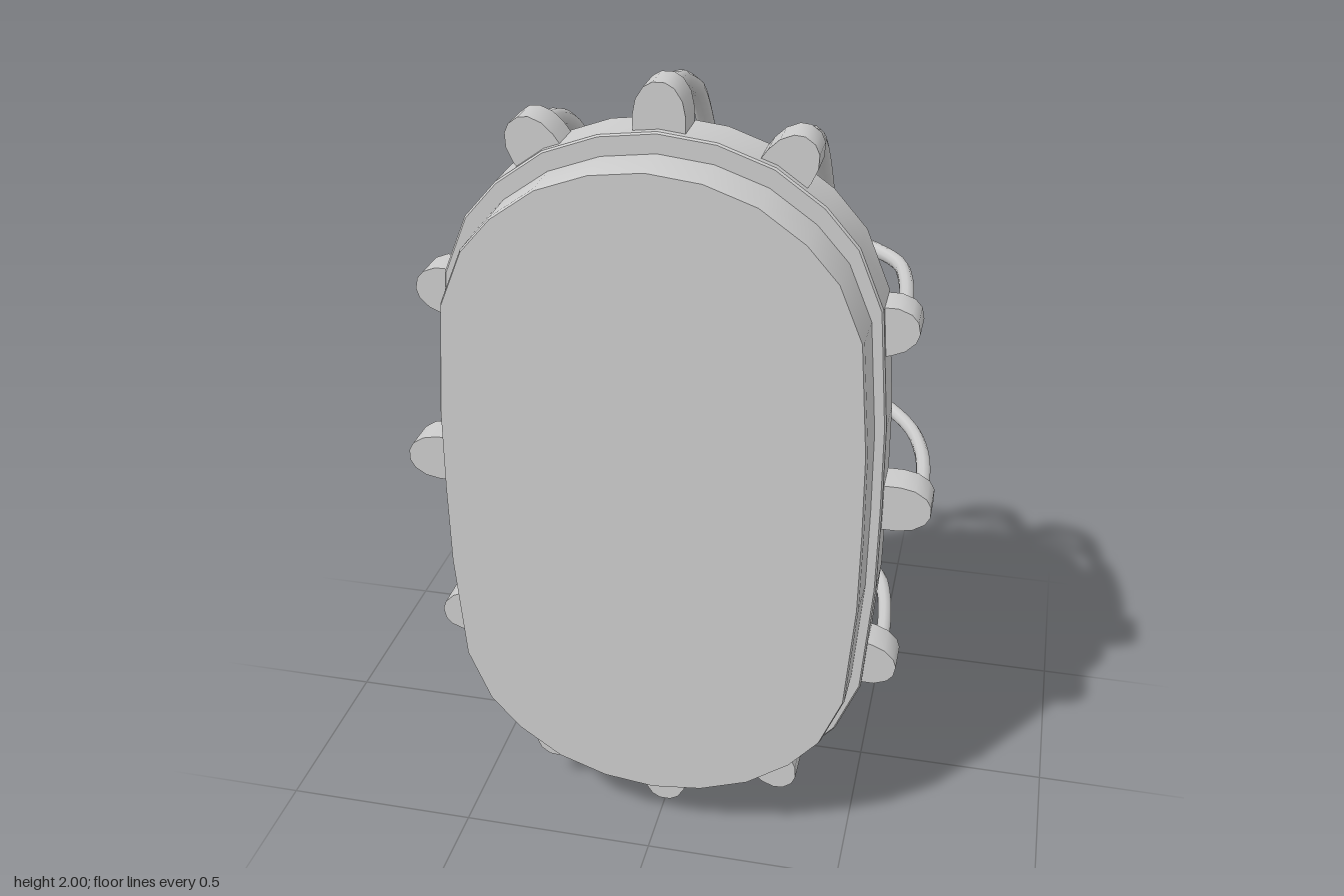
import * as THREE from 'three';
import { toCreasedNormals } from 'three/addons/utils/BufferGeometryUtils.js';

const material = new THREE.MeshStandardMaterial({ color: 0xcccccc });

// One quarter of the oblong outline, from the side to the top, scaled to 1 x 1
const quarter = [[1, 0], [0.996, 0.25], [0.954, 0.58], [0.845, 0.74], [0.70, 0.84], [0.49, 0.93], [0.25, 0.982]];
const outline = [
  ...quarter,
  [0, 1],
  ...quarter.slice(1).reverse().map(([x, y]) => [-x, y]),
  ...quarter.map(([x, y]) => [-x, -y]),
  [0, -1],
  ...quarter.slice(1).reverse().map(([x, y]) => [x, -y]),
];

// Skin oblong sections [z, half width, half height], listed from front to back
function loft(sections, crease) {
  const n = outline.length, positions = [], index = [];
  for (const [z, rx, ry] of sections) for (const [x, y] of outline) positions.push(x * rx, y * ry, z);
  for (let i = 0; i < sections.length - 1; i++) {
    for (let j = 0; j < n; j++) {
      const a = i * n + j, b = i * n + (j + 1) % n;
      if (sections[i][1] > 0) index.push(a, a + n, b);
      if (sections[i + 1][1] > 0) index.push(b, a + n, b + n);
    }
  }
  const geometry = new THREE.BufferGeometry();
  geometry.setAttribute('position', new THREE.Float32BufferAttribute(positions, 3));
  geometry.setIndex(index);
  return toCreasedNormals(geometry, crease);
}

// Cage wire: half profile [distance along the span, z], mirrored to the other end
function wireGeometry(half, radius, toPoint) {
  const full = [...half, ...half.slice(0, -1).reverse().map(([s, z]) => [-s, z])];
  const curve = new THREE.CatmullRomCurve3(full.map(([s, z]) => toPoint(s, z)), false, 'centripetal');
  return new THREE.TubeGeometry(curve, 48, radius, 10);
}

export function createModel() {
  const model = new THREE.Group();
  const body = new THREE.Group();
  body.name = 'bulkheadLamp';
  body.position.y = 1;
  model.add(body);

  const add = (name, geometry) => {
    const mesh = new THREE.Mesh(geometry, material);
    mesh.name = name;
    body.add(mesh);
    return mesh;
  };

  // Mounting plate, rim and domed cover
  add('mountingPlate', loft([
    [0.445, 0, 0], [0.445, 0.508, 0.842], [0.435, 0.512, 0.845], [0.32, 0.515, 0.847],
  ], 0.6));
  add('rim', loft([
    [0.33, 0, 0], [0.33, 0.537, 0.892], [0.325, 0.541, 0.896],
    [0.205, 0.541, 0.896], [0.2, 0.537, 0.892], [0.2, 0, 0],
  ], 0.6));
  add('domedCover', loft([
    [0.21, 0.48, 0.84], [0.13, 0.477, 0.838], [0.05, 0.462, 0.822], [-0.02, 0.437, 0.795],
    [-0.065, 0.4, 0.755], [-0.095, 0.345, 0.69], [-0.118, 0.26, 0.57], [-0.135, 0.15, 0.36], [-0.146, 0, 0],
  ], 0.9));

  // Rounded lugs around the rim, pointing outwards: [tip x, tip y, angle]
  const lugShape = new THREE.Shape([
    [-0.14, -0.06], [-0.075, -0.06], [-0.04, -0.053], [-0.012, -0.035], [0, -0.014],
    [0, 0.014], [-0.012, 0.035], [-0.04, 0.053], [-0.075, 0.06], [-0.14, 0.06],
  ].map(([x, y]) => new THREE.Vector2(x, y)));
  const lugGeometry = toCreasedNormals(
    new THREE.ExtrudeGeometry(lugShape, { depth: 0.09, bevelEnabled: false }), 0.75);
  const lugs = [[0.655, 0, 0], [0, 1, Math.PI / 2]];
  for (const [x, y, angle] of [[0.597, 0.475, 0.2], [0.335, 0.893, 0.95]]) {
    lugs.push([x, y, angle], [-x, y, Math.PI - angle]);
  }
  for (const [x, y, angle] of lugs) {
    for (const turn of [0, Math.PI]) {
      const lug = add('lug', lugGeometry);
      const sign = turn ? -1 : 1;
      lug.position.set(sign * x, sign * y, 0.218);
      lug.rotation.z = angle + turn;
    }
  }

  // Upright cage wires: one in the middle and one on each side
  const middleUpright = [
    [0.962, 0.24], [0.958, 0.17], [0.945, 0.09], [0.91, 0], [0.865, -0.09],
    [0.69, -0.235], [0.46, -0.348], [0.34, -0.362], [0.15, -0.392], [0, -0.42],
  ];
  const sideUpright = [
    [0.855, 0.24], [0.85, 0.17], [0.835, 0.09], [0.8, 0], [0.745, -0.085],
    [0.62, -0.2], [0.46, -0.315], [0.34, -0.312], [0.12, -0.34], [0, -0.353],
  ];
  for (const x of [-0.303, 0, 0.303]) {
    add('uprightCageWire', wireGeometry(x ? sideUpright : middleUpright, 0.023,
      (s, z) => new THREE.Vector3(x, s, z)));
  }

  // Crosswise cage wires: a wide one in the middle, narrower ones above and below
  const middleCross = [
    [0.623, 0.24], [0.62, 0.12], [0.602, 0], [0.562, -0.115],
    [0.46, -0.25], [0.32, -0.338], [0.15, -0.388], [0, -0.402],
  ];
  const outerCross = [
    [0.553, 0.24], [0.55, 0.13], [0.535, 0], [0.508, -0.1],
    [0.44, -0.18], [0.345, -0.25], [0.16, -0.32], [0, -0.332],
  ];
  for (const y of [-0.46, 0, 0.46]) {
    add('crossCageWire', wireGeometry(y ? outerCross : middleCross, 0.018,
      (s, z) => new THREE.Vector3(s, y, z)));
  }

  return model;
}
